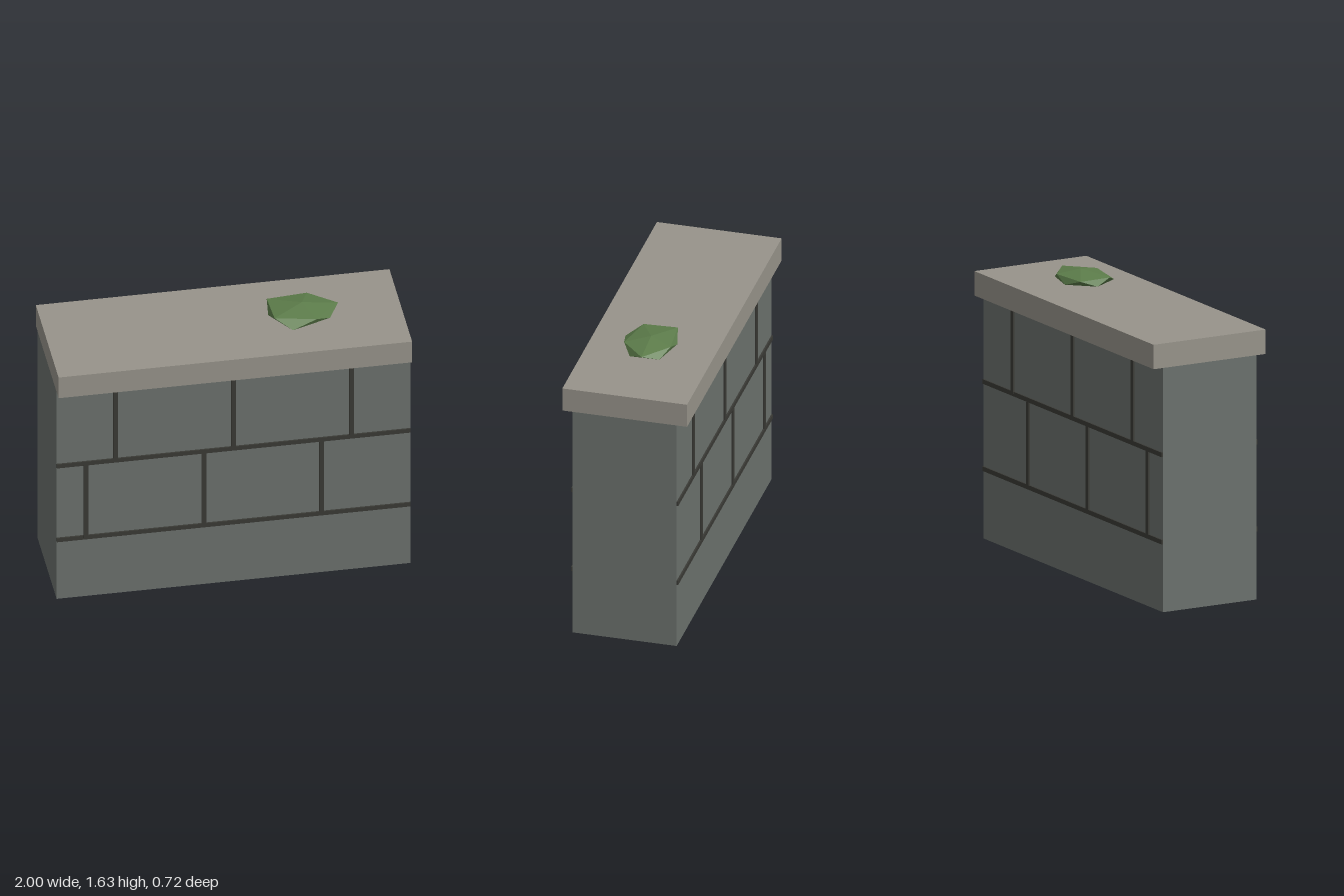
import * as THREE from 'three';
import { ConvexGeometry } from 'three/addons/geometries/ConvexGeometry.js';

function material(name, color) {
  const m = new THREE.MeshStandardMaterial({ color });
  m.name = name;
  return m;
}

export function createModel() {
  const group = new THREE.Group();
  group.name = 'stoneWall';
  const stone = material('grey stone', 0x6b716d);
  const capstone = material('pale capstone', 0x97938a);
  const mortar = material('dark mortar', 0x3a3a35);
  const moss = material('moss green', 0x5c7c4a);

  function box(name, mat, w, h, d, x, y, z) {
    const mesh = new THREE.Mesh(new THREE.BoxGeometry(w, h, d), mat);
    mesh.name = name;
    mesh.position.set(x, y, z);
    group.add(mesh);
  }

  // Wall and overhanging cap
  box('wallBody', stone, 2, 1.4, 0.6, 0, 0.7, 0);
  box('capSlab', capstone, 2, 0.14, 0.72, 0, 1.47, 0);

  // Raised joints in running bond, same x positions on front and back
  const courses = [
    { y: 0.402, joints: [-0.835, -0.168, 0.498] },
    { y: 0.902, joints: [-0.667, 0, 0.667] },
  ];
  for (const side of [1, -1]) {
    for (const { y, joints } of courses) {
      box('bedJoint', mortar, 2, 0.026, 0.009, 0, y, side * 0.3045);
      for (const x of joints) {
        box('verticalJoint', mortar, 0.027, 0.488, 0.01, x, y + 0.244, side * 0.305);
      }
    }
  }

  // Squashed faceted moss clump: two staggered rings between two poles
  const upper = [[0.645, 0], [0.49, -0.125], [0.26, -0.105], [0.27, 0.09], [0.5, 0.14]];
  const lower = [[0.58, -0.085], [0.38, -0.135], [0.25, 0], [0.36, 0.17], [0.585, 0.085]];
  const points = [
    new THREE.Vector3(0.44, 1.63, 0),
    new THREE.Vector3(0.43, 1.54, 0),
    ...upper.map(([x, z]) => new THREE.Vector3(x, 1.603, z)),
    ...lower.map(([x, z]) => new THREE.Vector3(x, 1.565, z)),
  ];
  const clump = new THREE.Mesh(new ConvexGeometry(points), moss);
  clump.name = 'mossClump';
  group.add(clump);

  return group;
}
